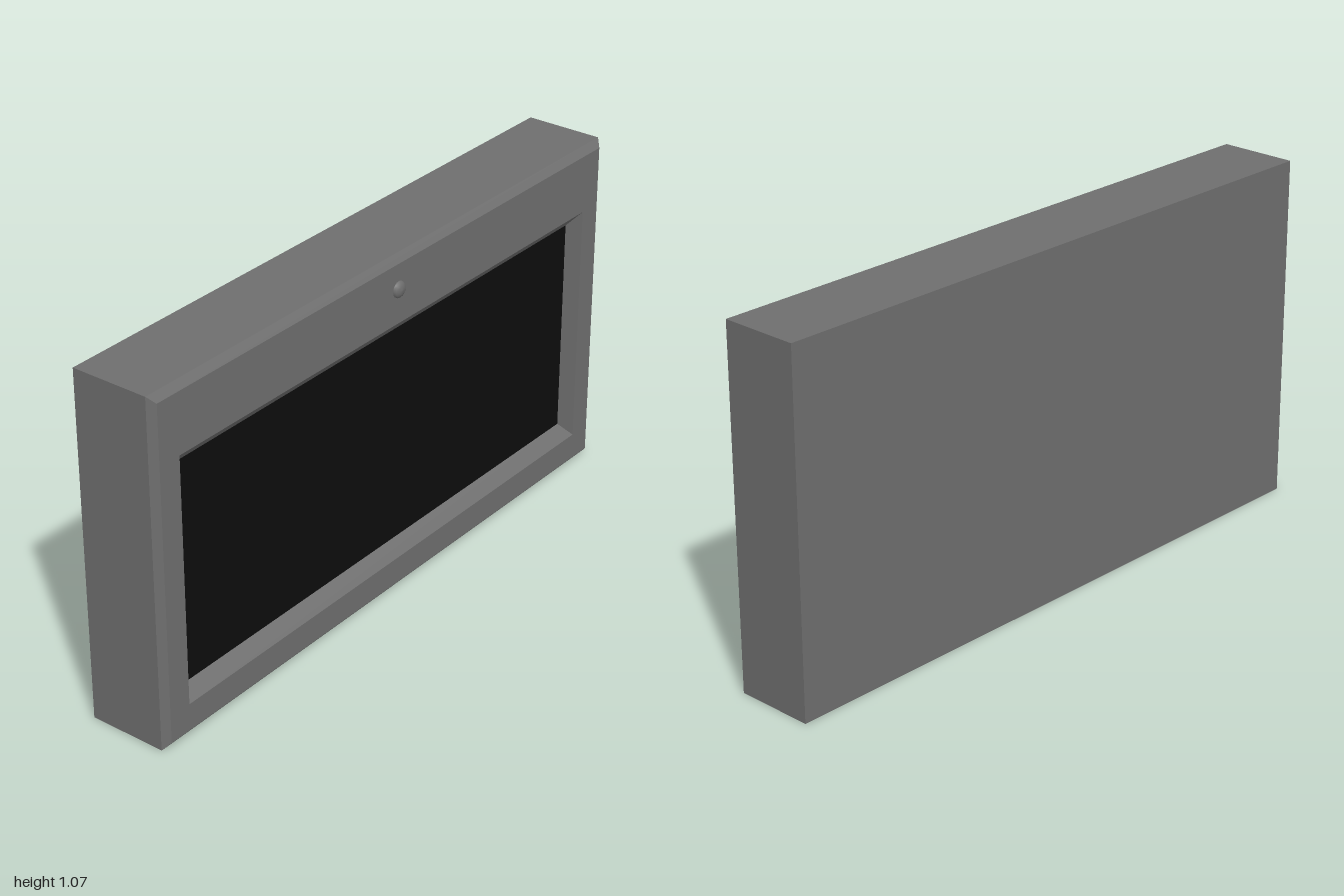
import * as THREE from 'three';

// Rectangular cross-section at depth z, counter-clockwise seen from the front
const ring = (x, y0, y1, z) => [[-x, y0, z], [x, y0, z], [x, y1, z], [-x, y1, z]];

// Flat-faced shell joining successive rings, optionally closed at the first one
function shell(rings, capStart) {
  const pos = [];
  const quad = (a, b, c, d) => pos.push(...a, ...b, ...c, ...a, ...c, ...d);
  if (capStart) quad(...[...rings[0]].reverse());
  for (let i = 0; i < rings.length - 1; i++) {
    const r = rings[i], s = rings[i + 1];
    for (let k = 0; k < 4; k++) {
      const n = (k + 1) % 4;
      quad(r[k], r[n], s[n], s[k]);
    }
  }
  const g = new THREE.BufferGeometry();
  g.setAttribute('position', new THREE.Float32BufferAttribute(pos, 3));
  g.computeVertexNormals();
  return g;
}

export function createModel() {
  const group = new THREE.Group();
  const casingGrey = new THREE.MeshStandardMaterial({ color: 0x6e6e6e });
  casingGrey.name = 'casingGrey';
  const screenBlack = new THREE.MeshStandardMaterial({ color: 0x0d0d0d });
  screenBlack.name = 'screenBlack';

  const add = (name, geometry, material) => {
    const mesh = new THREE.Mesh(geometry, material);
    mesh.name = name;
    group.add(mesh);
    return mesh;
  };

  // Casing: box, chamfered front edge, front frame, then sloped recess
  const height = 1.074, front = 0.124, recess = 0.072;
  add('casing', shell([
    ring(1, 0, height, -0.138),
    ring(1, 0, height, 0.105),
    ring(0.98, 0.022, height - 0.022, front),
    ring(0.905, 0.105, 0.87, front),
    ring(0.895, 0.13, 0.815, recess),
  ], true), casingGrey);

  // Screen at the bottom of the recess
  const screen = add('screen', new THREE.PlaneGeometry(1.79, 0.685), screenBlack);
  screen.position.set(0, 0.4725, recess);

  // Small domed button above the screen
  const profile = [[0.025, -0.004], [0.025, 0.003], [0.021, 0.008], [0.012, 0.0125], [0, 0.014]]
    .map(([r, h]) => new THREE.Vector2(r, h));
  const button = add('button', new THREE.LatheGeometry(profile, 16), casingGrey);
  button.rotation.x = Math.PI / 2;
  button.position.set(0, 0.975, front);

  return group;
}
